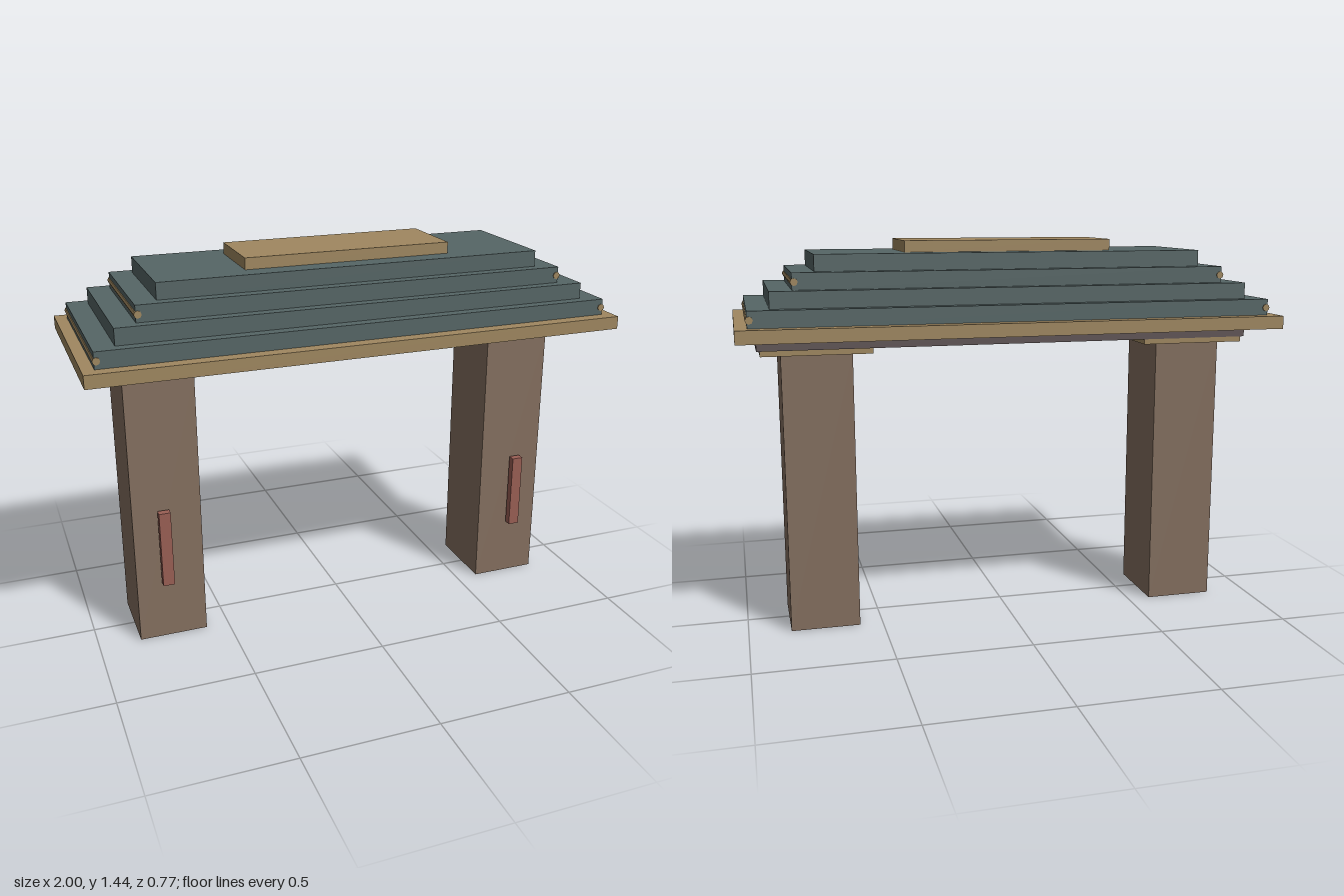
import * as THREE from 'three';

const material = (color) => new THREE.MeshStandardMaterial({ color, flatShading: true });

export function createModel() {
  const gate = new THREE.Group();
  gate.name = 'gate';
  const stone = material(0x857060);
  const beam = material(0x5f5455);
  const tile = material(0x566666);
  const trim = material(0xa08860);
  const red = material(0x9a5f55);

  const add = (name, geometry, mat, x, y, z) => {
    const mesh = new THREE.Mesh(geometry, mat);
    mesh.name = name;
    mesh.position.set(x, y, z);
    gate.add(mesh);
    return mesh;
  };
  // Box given by its width, depth, bottom and top
  const slab = (name, mat, w, d, y0, y1, x = 0, z = 0) =>
    add(name, new THREE.BoxGeometry(w, y1 - y0, d), mat, x, (y0 + y1) / 2, z);

  // Pillars with capitals and hanging strips in front
  const zBase = -0.0105;
  for (const [side, s] of [['left', 1], ['right', -1]]) {
    slab(side + 'Pillar', stone, 0.257, 0.288, 0, 1.044, s * 0.715, zBase);
    slab(side + 'Capital', trim, 0.398, 0.39, 1.044, 1.064, s * 0.717, zBase);
    slab(side + 'Strip', red, 0.043, 0.029, 0.236, 0.532, s * 0.73, 0.16);
  }

  // Lintel and eave board
  slab('lintel', beam, 1.856, 0.4, 1.064, 1.11, 0, zBase);
  slab('eaveBoard', trim, 2, 0.766, 1.11, 1.158);

  // Stepped roof: half width, half depth
  const tiers = [[0.957, 0.335], [0.88, 0.295], [0.8, 0.257], [0.72, 0.217]];
  const step = 0.06;
  tiers.forEach(([hx, hz], i) => {
    const y = 1.158 + i * step;
    slab('roofTier' + (i + 1), tile, hx * 2, hz * 2, y, y + step);
    // Rods along the short ends of every other tier
    if (i % 2 === 0) {
      for (const s of [1, -1]) {
        const rod = new THREE.CylinderGeometry(0.0135, 0.0135, hz * 2 + 0.007, 8);
        add('endRod', rod, trim, s * (hx - 0.007), y + 0.028, 0).rotation.x = Math.PI / 2;
      }
    }
  });

  // Ridge cap
  slab('ridgeCap', trim, 0.78, 0.286, 1.398, 1.44);
  return gate;
}
